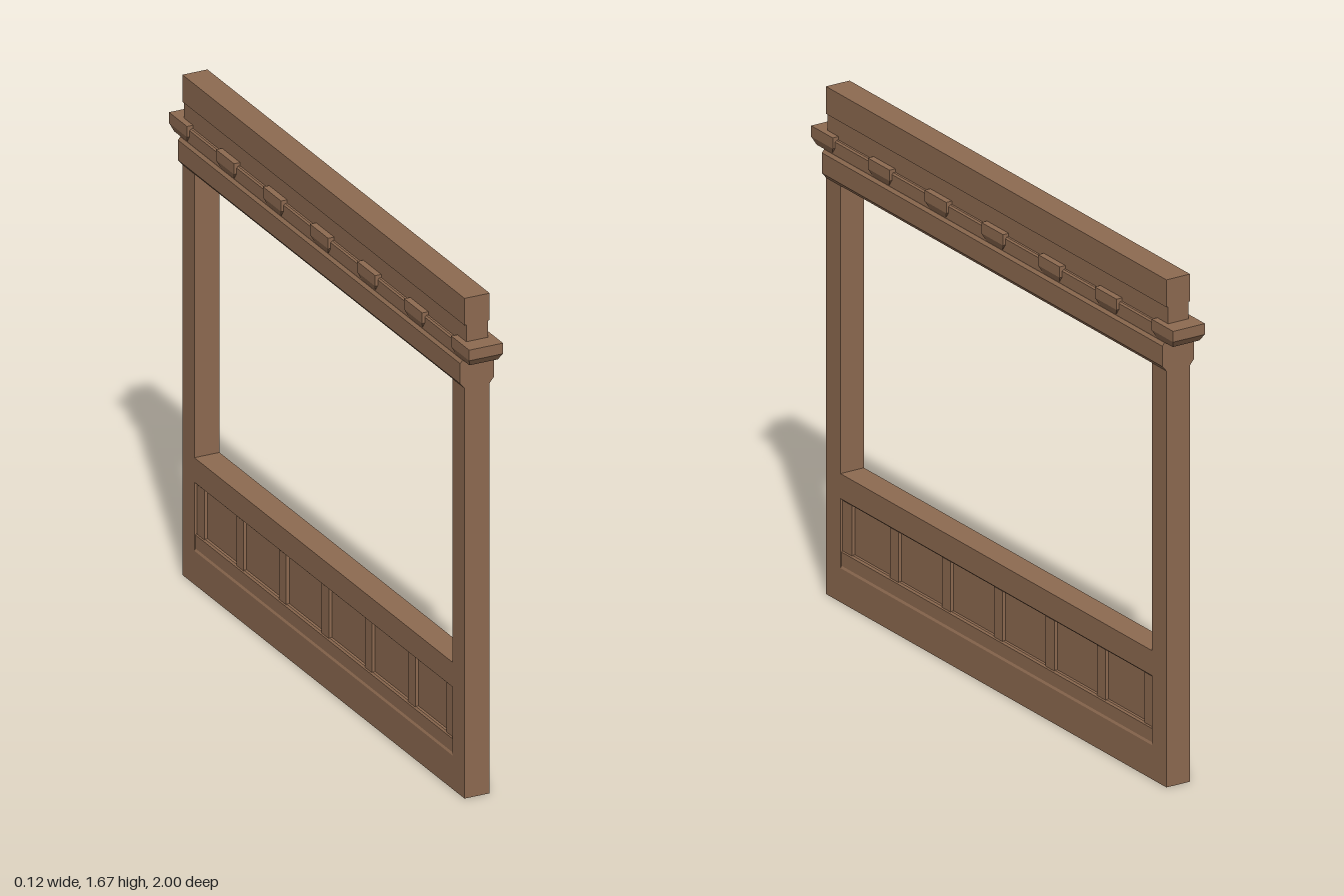
import * as THREE from 'three';

const wood = new THREE.MeshStandardMaterial({ color: 0x8d6a50 });
wood.name = 'brown wood';

export function createModel() {
  const group = new THREE.Group();
  group.name = 'woodenWindowFrame';

  const add = (name, geometry, x = 0, y = 0, z = 0) => {
    const mesh = new THREE.Mesh(geometry, wood);
    mesh.name = name;
    mesh.position.set(x, y, z);
    group.add(mesh);
    return mesh;
  };

  // Symmetric [halfWidth, height] profile, listed upwards, swept along z
  const beam = (name, profile, halfLength) => {
    const right = profile.map(([x, y]) => new THREE.Vector2(x, y));
    const left = profile.map(([x, y]) => new THREE.Vector2(-x, y)).reverse();
    const geometry = new THREE.ExtrudeGeometry(new THREE.Shape([...right, ...left]), {
      depth: halfLength * 2, bevelEnabled: false,
    });
    geometry.translate(0, 0, -halfLength);
    return add(name, geometry);
  };

  const box = (name, halfWidth, y0, y1, z0, z1) =>
    add(name, new THREE.BoxGeometry(halfWidth * 2, y1 - y0, z1 - z0), 0, (y0 + y1) / 2, (z0 + z1) / 2);

  // Corner posts
  for (const s of [-1, 1]) {
    box(s > 0 ? 'frontPost' : 'backPost', 0.043, 0, 1.375, Math.min(s * 0.86, s * 0.94), Math.max(s * 0.86, s * 0.94));
  }

  // Low wall: stepped base, recessed panel core, stiles and sill rail
  beam('baseRail', [[0.043, 0], [0.043, 0.112], [0.039, 0.119], [0.039, 0.164], [0.034, 0.17]], 0.86);
  box('panelCore', 0.025, 0.17, 0.338, -0.86, 0.86);
  beam('sillRail', [[0.036, 0.334], [0.043, 0.341], [0.043, 0.423]], 0.86);
  const stiles = [[0.807, 0.86], [0.55, 0.598], [0.262, 0.31], [-0.025, 0.023],
    [-0.31, -0.262], [-0.594, -0.546], [-0.856, -0.807]];
  for (const [z0, z1] of stiles) box('panelStile', 0.036, 0.168, 0.338, z0, z1);

  // Lintel with chamfered edges
  beam('lintel', [[0.043, 1.37], [0.058, 1.388], [0.058, 1.455], [0.05, 1.465]], 0.94);
  beam('corniceStrip', [[0.049, 1.465], [0.049, 1.508], [0.044, 1.513]], 0.94);
  // Top beam, stepped out at its upper part
  beam('topBeam', [[0.037, 1.513], [0.037, 1.58], [0.043, 1.58], [0.043, 1.67]], 0.94);

  // Corbel blocks with undercut lower edges
  for (let i = -3; i <= 3; i++) {
    const block = new THREE.BoxGeometry(0.116, 0.059, 0.12, 1, 2, 1);
    const p = block.attributes.position;
    for (let k = 0; k < p.count; k++) {
      if (p.getY(k) < -0.01) {
        p.setX(k, p.getX(k) * 0.84);
        p.setZ(k, p.getZ(k) * 0.72);
      } else if (p.getY(k) < 0.01) {
        p.setY(k, -0.006);
      }
    }
    const flat = block.toNonIndexed();
    flat.computeVertexNormals();
    add('corbel', flat, 0, 1.4945, i * 0.94 / 3);
  }
  return group;
}
